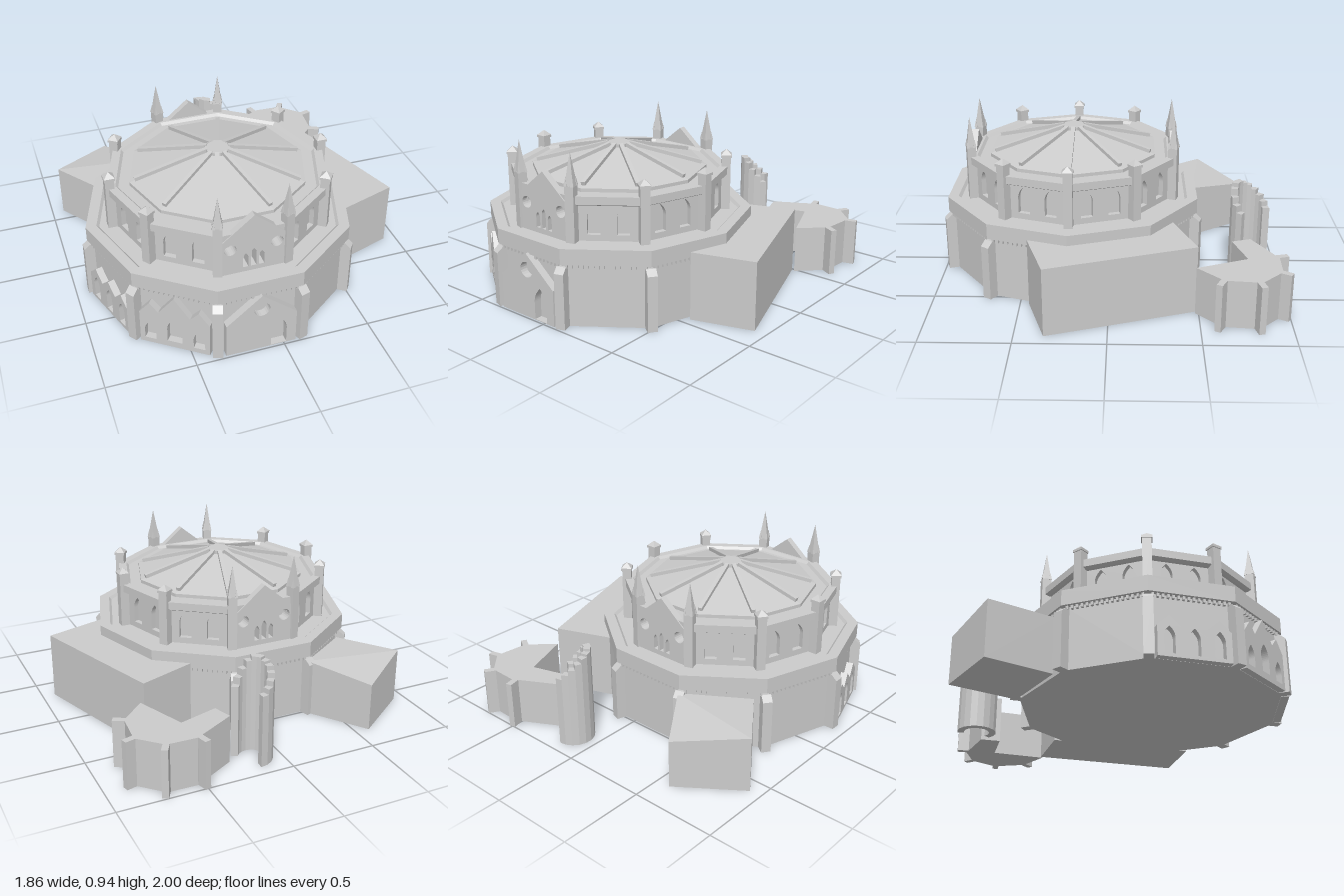
import * as THREE from 'three';

const MAT = new THREE.MeshStandardMaterial({ color: 0xcccccc, flatShading: true });
const SIDES = 10, STEP = Math.PI / 5;
const CX = -0.13, CZ = 0.225;

function add(parent, name, geo, x = 0, y = 0, z = 0) {
  const m = new THREE.Mesh(geo, MAT);
  m.name = name;
  m.position.set(x, y, z);
  parent.add(m);
  return m;
}

function group(parent, name) {
  const g = new THREE.Group();
  g.name = name;
  parent.add(g);
  return g;
}

const poly = pts => new THREE.Shape(pts.map(p => new THREE.Vector2(p[0], p[1])));
const extrude = (shape, depth) =>
  new THREE.ExtrudeGeometry(shape, { depth, bevelEnabled: false, curveSegments: 10 });

// Ten-sided ring or drum from a profile of [radius, height], corners on the x axis
const decagon = pts =>
  new THREE.LatheGeometry(pts.map(p => new THREE.Vector2(p[0], p[1])), SIDES, Math.PI / 10);

// Upright prism from a plan outline of [x, z]
const prism = (plan, h) => extrude(poly(plan.map(p => [p[0], -p[1]])), h).rotateX(-Math.PI / 2);

// Square pyramid whose sides line up with the axes
const pyramid = (w, h) => new THREE.ConeGeometry(w / Math.SQRT2, h, 4).rotateY(Math.PI / 4);

// Pointed arch opening
function lancet(x, y0, w, h) {
  const p = new THREE.Path(), r = w / 2, spring = y0 + h - w;
  p.moveTo(x - r, y0);
  p.lineTo(x - r, spring);
  p.quadraticCurveTo(x - r, spring + w * 0.55, x, y0 + h);
  p.quadraticCurveTo(x + r, spring + w * 0.55, x + r, spring);
  p.lineTo(x + r, y0);
  return p;
}

function disc(x, y, r) {
  const p = new THREE.Path();
  p.absarc(x, y, r, 0, Math.PI * 2, true);
  return p;
}

// Flat plate with openings; its front lies at distance front
function plate(parent, name, outline, holes, front, depth) {
  const s = poly(outline);
  s.holes.push(...holes);
  return add(parent, name, extrude(s, depth), 0, 0, front - depth);
}

const rect = (w, y0, y1) => [[-w / 2, y0], [w / 2, y0], [w / 2, y1], [-w / 2, y1]];

// Group whose +z looks out of side k (side 2 is the front, side 7 the back)
function side(parent, k) {
  const g = group(parent, 'side' + k);
  g.rotation.y = Math.PI / 2 - (k + 0.5) * STEP;
  return g;
}

function buildLower(hall) {
  const lower = group(hall, 'lowerStorey');
  add(lower, 'lowerWall', decagon([[0, 0], [0.75, 0], [0.75, 0.37], [0, 0.37]]));
  add(lower, 'ledge', decagon([[0.74, 0.36], [0.777, 0.365], [0.777, 0.455], [0.715, 0.455], [0.7, 0.44], [0.55, 0.44]]));
  for (let k = 0; k < SIDES; k++) {
    const f = side(lower, k);
    for (let i = 0; i < 16; i++)
      add(f, 'dentil', new THREE.BoxGeometry(0.013, 0.02, 0.022), (i - 7.5) * 0.028, 0.352, 0.72);
    if (k === 2) plate(f, 'frontGable',
      [[-0.2, 0], [0.2, 0], [0.2, 0.21], [0, 0.375], [-0.2, 0.21]],
      [disc(0, 0.28, 0.045), lancet(0.1, 0.004, 0.09, 0.19)], 0.76, 0.045);
    if (k === 3) plate(f, 'tripleGable',
      [[-0.2, 0], [0.2, 0], [0.2, 0.21], [0.14, 0.285], [0.09, 0.23], [0, 0.35], [-0.09, 0.23], [-0.14, 0.285], [-0.2, 0.21]],
      [lancet(0, 0.04, 0.085, 0.165), lancet(-0.14, 0.03, 0.065, 0.12), lancet(0.14, 0.03, 0.065, 0.12)], 0.755, 0.04);
    if (k === 4) plate(f, 'smallGables',
      [[-0.2, 0], [0.2, 0], [0.2, 0.17], [0.135, 0.23], [0.068, 0.17], [0, 0.23], [-0.068, 0.17], [-0.135, 0.23], [-0.2, 0.17]],
      [-0.135, 0, 0.135].map(x => lancet(x, 0.02, 0.06, 0.15)), 0.755, 0.04);
  }
  // Buttresses with sloping tops at the corners
  const buttress = extrude(poly([[0.68, 0], [0.8, 0], [0.8, 0.32], [0.765, 0.35], [0.68, 0.35]]), 0.055)
    .translate(0, 0, -0.0275);
  for (let k = 1; k < 9; k++) add(lower, 'buttress', buttress).rotation.y = -k * STEP;
}

function buildUpper(hall) {
  const upper = group(hall, 'upperStorey');
  add(upper, 'upperCore', decagon([[0.575, 0.43], [0.575, 0.67]]));
  add(upper, 'cornice', decagon([[0.57, 0.64], [0.62, 0.645], [0.64, 0.655], [0.64, 0.7], [0.59, 0.7], [0.575, 0.685], [0.5, 0.685]]));
  for (let k = 0; k < SIDES; k++) {
    const f = side(upper, k), end = k === 2 || k === 7;
    const discs = () => [-0.13, 0.13].map(x => disc(x, 0.6, 0.034));
    const lights = () => [-0.045, 0, 0.045].map(x => lancet(x, 0.47, 0.03, x ? 0.09 : 0.115));
    plate(f, 'windowWall', rect(0.374, 0.435, 0.66),
      end ? [...discs(), ...lights()] : [-0.08, 0.08].map(x => lancet(x, 0.475, 0.07, 0.16)), 0.576, 0.03);
    if (end) plate(f, 'upperGable',
      [[-0.175, 0.44], [0.175, 0.44], [0.175, 0.655], [0, 0.8], [-0.175, 0.655]],
      [...discs(), ...lights()], 0.615, 0.04);
  }
  // Corner piers: tall spires beside the gables, short caps elsewhere
  for (let k = 0; k < SIDES; k++) {
    const tall = [2, 3, 7, 8].includes(k);
    const g = group(upper, tall ? 'spire' : 'pier');
    const a = k * STEP;
    g.position.set(0.625 * Math.cos(a), 0, 0.625 * Math.sin(a));
    g.rotation.y = -a;
    add(g, 'shaft', new THREE.BoxGeometry(0.052, 0.33, 0.052), 0, 0.595, 0);
    if (tall) {
      add(g, 'spireTip', pyramid(0.05, 0.18), 0, 0.85, 0);
      for (const sx of [-1, 1]) for (const sz of [-1, 1])
        add(g, 'pinnacle', pyramid(0.018, 0.05), sx * 0.02, 0.782, sz * 0.02);
    } else {
      add(g, 'capBase', new THREE.BoxGeometry(0.062, 0.015, 0.062), 0, 0.7625, 0);
      add(g, 'cap', pyramid(0.062, 0.03), 0, 0.785, 0);
    }
  }
  // Ribbed roof with a flat hub
  add(upper, 'roof', decagon([[0.51, 0.68], [0.51, 0.705], [0.06, 0.82], [0, 0.82]]));
  add(upper, 'hub', new THREE.CylinderGeometry(0.07, 0.07, 0.03, 10), 0, 0.82, 0);
  for (let k = 0; k < SIDES; k++) {
    const rib = add(group(upper, 'ribArm'), 'rib', new THREE.BoxGeometry(0.435, 0.03, 0.024), 0.27, 0.772, 0);
    rib.rotation.z = -Math.atan2(0.115, 0.45);
    rib.parent.rotation.y = -k * STEP;
  }
}

// Block whose four top corners differ in height; corners are [x, z, height]
function unevenBlock(c) {
  const pos = [...c.map(p => [p[0], 0, p[1]]), ...c.map(p => [p[0], p[2], p[1]])].flat();
  const idx = [4, 5, 6, 4, 6, 7, 0, 2, 1, 0, 3, 2];
  for (let i = 0; i < 4; i++) {
    const j = (i + 1) % 4;
    idx.push(i, j, j + 4, i, j + 4, i + 4);
  }
  const g = new THREE.BufferGeometry();
  g.setAttribute('position', new THREE.Float32BufferAttribute(pos, 3));
  g.setIndex(idx);
  const flat = g.toNonIndexed();
  flat.computeVertexNormals();
  return flat;
}

function buildAnnexes(root) {
  add(root, 'sideBlock', prism([[0.926, 0.34], [0.577, 0.45], [0.32, -0.365], [0.646, -0.487]], 0.395));
  add(root, 'backBlock', unevenBlock([
    [-0.356, -0.508, 0.335], [-0.583, -0.837, 0.28], [-0.93, -0.588, 0.325], [-0.7, -0.27, 0.325]]));

  // Many-sided back room with small buttresses
  const room = group(root, 'backRoom');
  add(room, 'roomWalls', prism([[0.29, -0.815], [0.535, -0.95], [0.705, -0.945], [0.83, -0.82],
    [0.81, -0.62], [0.665, -0.48], [0.55, -0.773], [0.325, -0.705]], 0.28));
  for (const [x, z, deg] of [[0.51, -0.965, -105], [0.715, -0.96, -60], [0.85, -0.815, -15], [0.83, -0.605, 28]])
    add(room, 'roomButtress', new THREE.BoxGeometry(0.075, 0.28, 0.036), x, 0.14, z)
      .rotation.y = -deg * Math.PI / 180;

  // Broken stair turret: a stepped, open ring of wall pieces
  const turret = group(root, 'stairTurret');
  turret.position.set(0.16, 0, -0.82);
  const tops = [0.42, 0.46, 0.5, 0.54, 0.565, 0.565, 0.55, 0.535, 0.51, 0.48, 0.45, 0.42];
  tops.forEach((h, i) => {
    const a0 = (30 + i * 20) * Math.PI / 180, a1 = a0 + Math.PI / 9;
    const at = (r, a) => [r * Math.cos(a), r * Math.sin(a)];
    add(turret, 'turretWall', prism([at(0.075, a0), at(0.115, a0), at(0.115, a1), at(0.075, a1)], h));
  });
}

export function createModel() {
  const root = new THREE.Group();
  root.name = 'chapterHouse';
  const hall = group(root, 'hall');
  hall.position.set(CX, 0, CZ);
  buildLower(hall);
  buildUpper(hall);
  buildAnnexes(root);
  return root;
}
